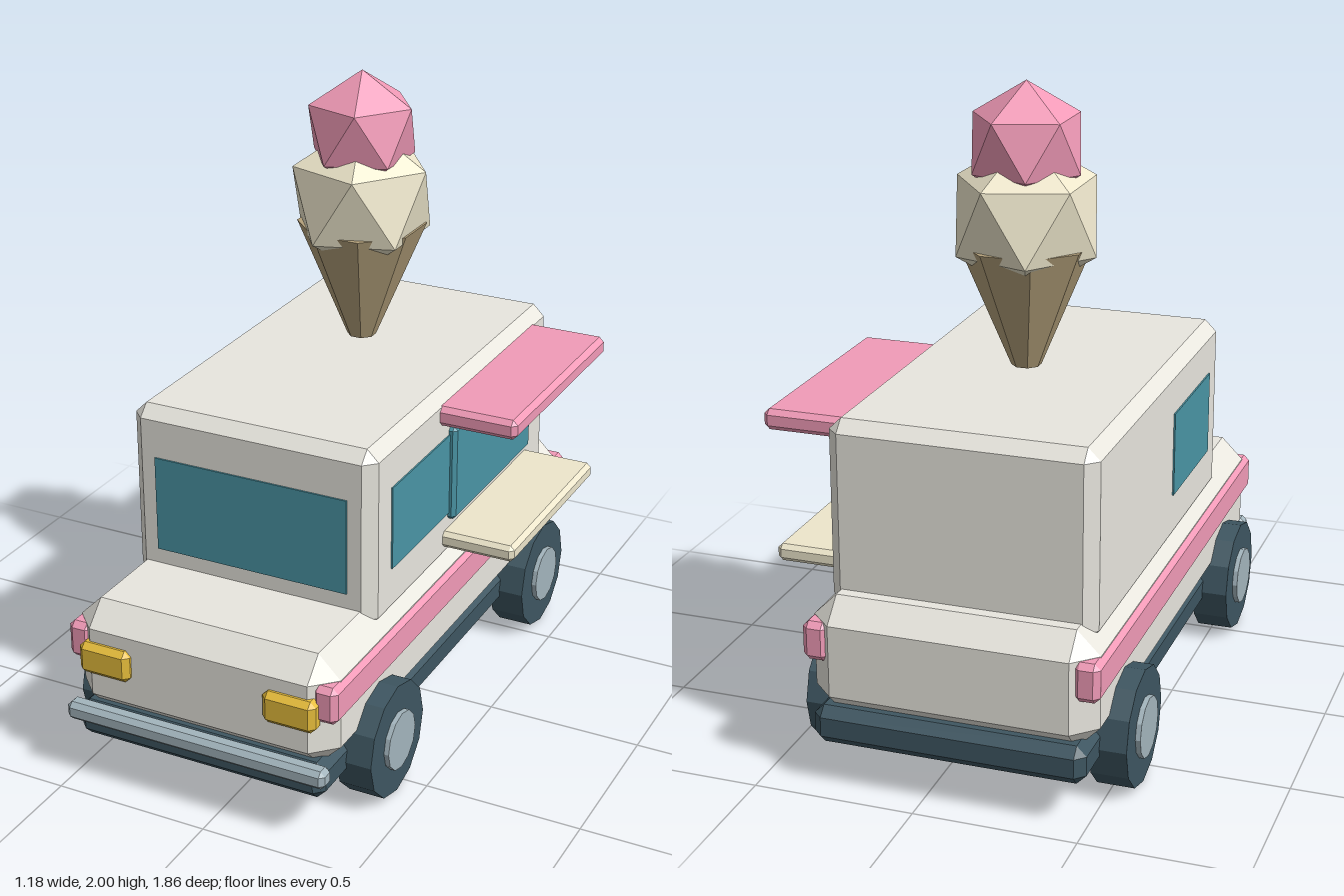
import * as THREE from 'three';
import { ConvexGeometry } from 'three/addons/geometries/ConvexGeometry.js';

const CX = -0.075; // centre line of the van

const mat = (color) => new THREE.MeshStandardMaterial({ color, flatShading: true });
const cream = mat(0xe9e7df), pink = mat(0xf29bb8), dark = mat(0x3e5661), glass = mat(0x4a95a5);
const yellow = mat(0xe8be3c), metal = mat(0xa3b5bd), vanilla = mat(0xeee7cc), wafer = mat(0xb5a27c);

export function createModel() {
  const group = new THREE.Group();

  const add = (name, geometry, material, x = 0, y = 0, z = 0) => {
    const mesh = new THREE.Mesh(geometry, material);
    mesh.name = name;
    mesh.position.set(x, y, z);
    group.add(mesh);
    return mesh;
  };

  // Box given by its limits, with every edge cut off at 45 degrees by b
  const bevelBox = (name, material, [x0, x1], [y0, y1], [z0, z1], b) => {
    const h = [(x1 - x0) / 2, (y1 - y0) / 2, (z1 - z0) / 2];
    const points = [];
    for (const sx of [-1, 1]) for (const sy of [-1, 1]) for (const sz of [-1, 1]) {
      for (let axis = 0; axis < 3; axis++) {
        const p = h.map((v, i) => (i === axis ? v : v - b));
        points.push(new THREE.Vector3(sx * p[0], sy * p[1], sz * p[2]));
      }
    }
    return add(name, new ConvexGeometry(points), material, (x0 + x1) / 2, (y0 + y1) / 2, (z0 + z1) / 2);
  };

  // Chassis, lower body and cabin
  bevelBox('chassis', dark, [CX - 0.42, CX + 0.42], [0.13, 0.25], [-0.93, 0.9], 0.03);
  bevelBox('lowerBody', cream, [CX - 0.44, CX + 0.44], [0.21, 0.58], [-0.91, 0.885], 0.072);
  bevelBox('cabin', cream, [CX - 0.41, CX + 0.41], [0.51, 1.1], [-0.8, 0.545], 0.038);
  bevelBox('frontBumper', metal, [CX - 0.44, CX + 0.44], [0.195, 0.255], [0.87, 0.93], 0.015);

  // Windows
  add('windscreen', new THREE.BoxGeometry(0.65, 0.31, 0.02), glass, CX, 0.785, 0.54);
  for (const s of [-1, 1]) {
    add(s > 0 ? 'leftDoorWindow' : 'rightDoorWindow',
      new THREE.BoxGeometry(0.02, 0.27, 0.42), glass, CX + s * 0.405, 0.81, 0.21);
  }

  // Serving hatch with awning and counter on the left side
  bevelBox('servingWindow', glass, [0.3, 0.36], [0.65, 0.97], [-0.61, 0.01], 0.012);
  bevelBox('awning', pink, [0.29, 0.585], [1.0, 1.065], [-0.685, 0.08], 0.016);
  bevelBox('counter', vanilla, [0.29, 0.575], [0.565, 0.62], [-0.645, 0.045], 0.014);

  // Mirrored side stripes, headlights and wheels
  for (const s of [-1, 1]) {
    const side = s > 0 ? 'left' : 'right';
    const span = (a, b) => [CX + s * a, CX + s * b].sort((p, q) => p - q);
    bevelBox(side + 'Stripe', pink, span(0.375, 0.455), [0.385, 0.507], [-0.905, 0.875], 0.018);
    bevelBox(side + 'Headlight', yellow, span(0.225, 0.4), [0.36, 0.465], [0.85, 0.91], 0.018);
    for (const [end, z] of [['Front', 0.56], ['Rear', -0.6]]) {
      const tyre = new THREE.CylinderGeometry(0.183, 0.183, 0.115, 12).rotateZ(Math.PI / 2);
      const hub = new THREE.CylinderGeometry(0.094, 0.094, 0.06, 12).rotateZ(Math.PI / 2);
      add(side + end + 'Tyre', tyre, dark, CX + s * 0.445, 0.183, z);
      add(side + end + 'Hub', hub, metal, CX + s * 0.488, 0.183, z);
    }
  }

  // Ice cream on the roof: wafer cone and two faceted scoops, each with a corner on top
  const coneZ = -0.21;
  add('waferCone', new THREE.CylinderGeometry(0.205, 0.046, 0.38, 8, 1, false, Math.PI / 8),
    wafer, CX, 1.32, coneZ);
  const scoop = (r) => new THREE.IcosahedronGeometry(r, 0)
    .rotateZ(-Math.atan(2 / (1 + Math.sqrt(5))));
  add('vanillaScoop', scoop(0.245), vanilla, CX, 1.593, coneZ);
  add('strawberryScoop', scoop(0.188), pink, CX, 1.812, coneZ);

  return group;
}
